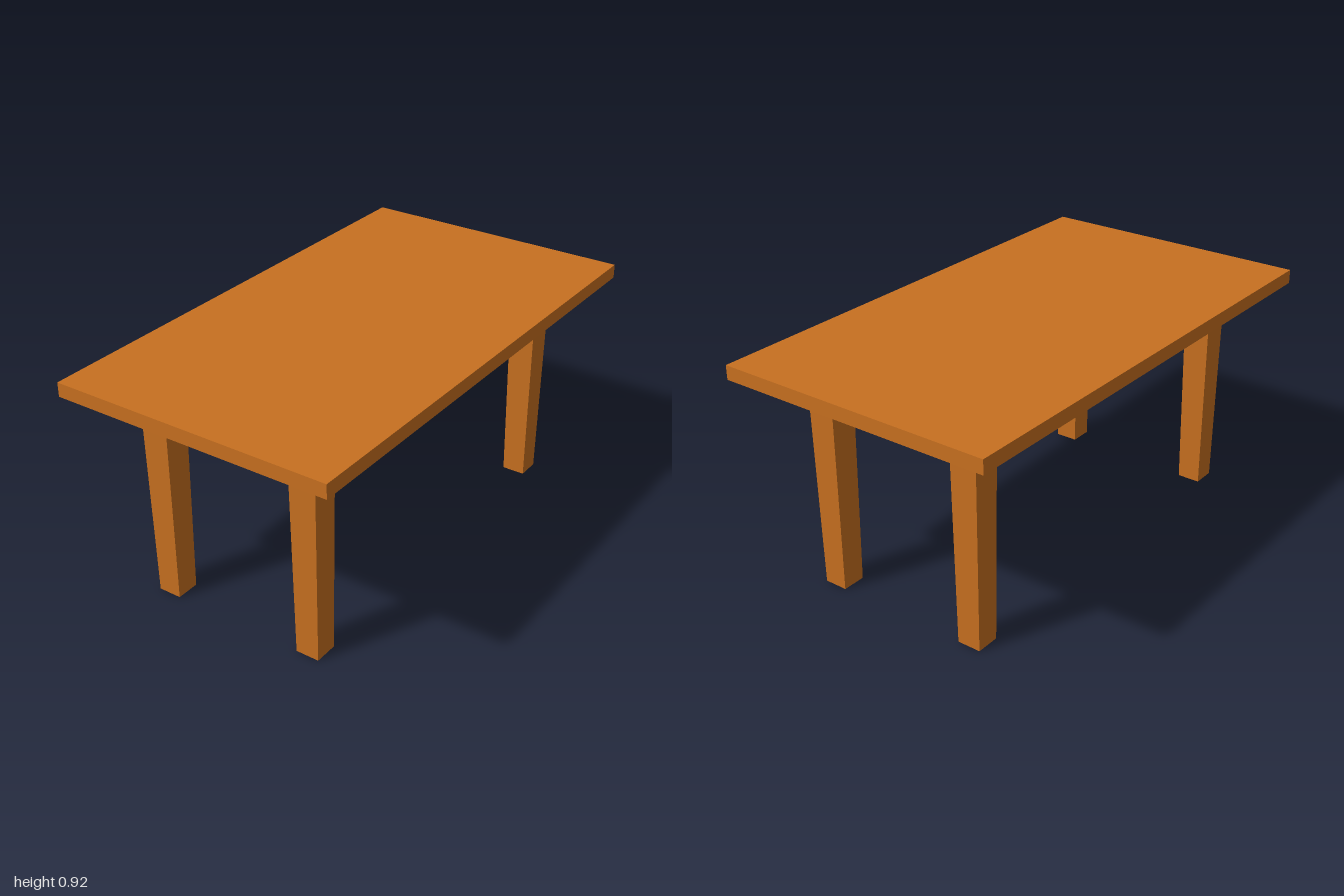
import * as THREE from 'three';

const TOP_Y = 0.918, UNDER_Y = 0.862;

// Square leg, tapering evenly from the top half-width to the foot half-width
function taperedLeg(height, topHalf, footHalf) {
  const geo = new THREE.BoxGeometry(2, height, 2);
  geo.translate(0, height / 2, 0);
  const p = geo.attributes.position;
  for (let i = 0; i < p.count; i++) {
    const h = THREE.MathUtils.lerp(footHalf, topHalf, p.getY(i) / height);
    p.setX(i, p.getX(i) * h);
    p.setZ(i, p.getZ(i) * h);
  }
  geo.computeVertexNormals();
  return geo;
}

export function createModel() {
  const table = new THREE.Group();
  table.name = 'table';
  const wood = new THREE.MeshStandardMaterial({ color: 0xc87020 });

  // Flat rectangular top
  const top = new THREE.Mesh(new THREE.BoxGeometry(1.134, TOP_Y - UNDER_Y, 2), wood);
  top.name = 'tableTop';
  top.position.y = (TOP_Y + UNDER_Y) / 2;
  table.add(top);

  // Four legs, set in from the corners
  const legGeometry = taperedLeg(UNDER_Y, 0.0565, 0.0475);
  for (const [side, x] of [['Left', 1], ['Right', -1]]) {
    for (const [end, z] of [['front', 1], ['back', -1]]) {
      const leg = new THREE.Mesh(legGeometry, wood);
      leg.name = `${end}${side}Leg`;
      leg.position.set(x * 0.322, 0, z * 0.749);
      table.add(leg);
    }
  }
  return table;
}
